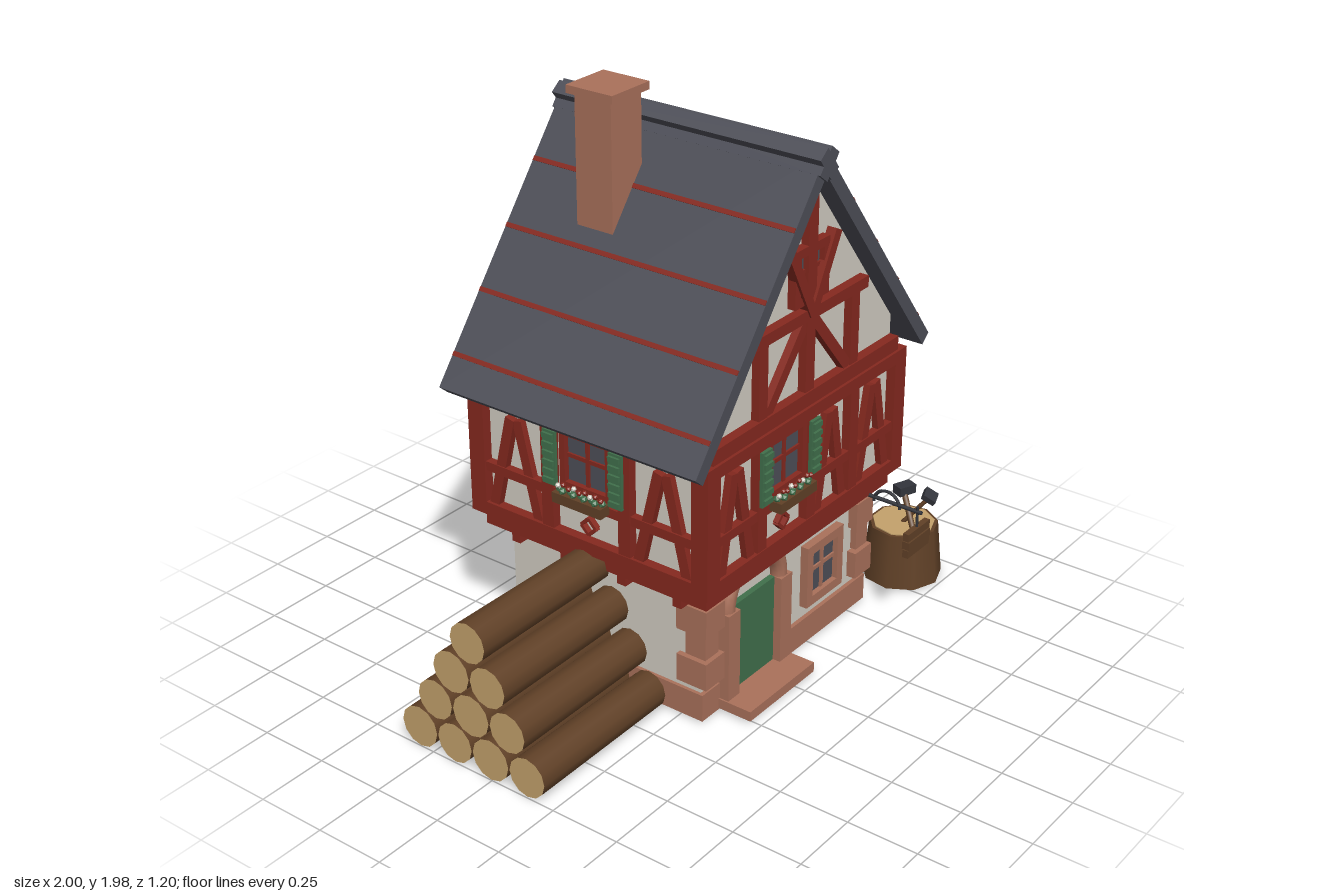
import * as THREE from 'three';

const mat = (name, color) => Object.assign(new THREE.MeshStandardMaterial({ color }), { name });
const M = {
  plaster: mat('plaster', 0xd2cdc2), timber: mat('red timber', 0x86291f),
  stone: mat('sandstone', 0xaa715b), slate: mat('slate', 0x4e4f58),
  wood: mat('brown wood', 0x614127), grain: mat('end grain', 0xc4a26c),
  green: mat('green paint', 0x41704c), iron: mat('dark iron', 0x33353c),
};
const CX = 0.12, CZ = -0.07; // centre of the house

function add(parent, name, geo, material, x = 0, y = 0, z = 0) {
  const m = new THREE.Mesh(geo, material);
  m.name = name;
  m.position.set(x, y, z);
  parent.add(m);
  return m;
}
const box = (p, name, m, w, h, d, x, y, z) => add(p, name, new THREE.BoxGeometry(w, h, d), m, x, y, z);
// box given by its x and y limits, from z0 to z1
const slab = (p, name, m, x0, x1, y0, y1, z0, z1) =>
  box(p, name, m, x1 - x0, y1 - y0, z1 - z0, (x0 + x1) / 2, (y0 + y1) / 2, (z0 + z1) / 2);
// bar between two points of a wall plane
function brace(p, name, x0, y0, x1, y1, w, z0, z1) {
  const len = Math.hypot(x1 - x0, y1 - y0);
  const b = box(p, name, M.timber, w, len, z1 - z0, (x0 + x1) / 2, (y0 + y1) / 2, (z0 + z1) / 2);
  b.rotation.z = -Math.atan2(x1 - x0, y1 - y0);
}
// round or square rod between two points in space
function rod(p, name, m, a, b, r, sides = 8) {
  const A = new THREE.Vector3(...a), B = new THREE.Vector3(...b);
  const o = add(p, name, new THREE.CylinderGeometry(r, r, A.distanceTo(B), sides), m);
  o.position.copy(A).lerp(B, 0.5);
  o.quaternion.setFromUnitVectors(new THREE.Vector3(0, 1, 0), B.sub(A).normalize());
  return o;
}
function group(parent, name, x = 0, y = 0, z = 0, ry = 0) {
  const g = new THREE.Group();
  g.name = name;
  g.position.set(x, y, z);
  g.rotation.y = ry;
  parent.add(g);
  return g;
}

// Glass with frame and cross bars, centred on (x, y)
function windowUnit(p, m, x, y, w, h, f, z) {
  const g = group(p, 'window', x, y, z);
  box(g, 'glass', M.slate, w - f, h - f, 0.01, 0, 0, 0.005);
  for (const s of [-1, 1]) {
    box(g, 'frameSide', m, f, h, 0.03, s * (w - f) / 2, 0, 0.015);
    box(g, 'frameRail', m, w, f, 0.03, 0, s * (h - f) / 2, 0.015);
  }
  box(g, 'mullion', m, 0.014, h - f, 0.014, 0, 0, 0.01);
  box(g, 'crossbar', m, w - f, 0.014, 0.014, 0, 0.01, 0.01);
}

// Shuttered window with flower box
function flowerWindow(p, x) {
  windowUnit(p, M.timber, x, 0.86, 0.21, 0.21, 0.022, 0);
  for (const s of [-1, 1]) {
    box(p, 'shutter', M.green, 0.052, 0.195, 0.012, x + s * 0.135, 0.855, 0.041);
    for (let i = 0; i < 6; i++)
      box(p, 'shutterSlat', M.green, 0.044, 0.018, 0.012, x + s * 0.135, 0.775 + i * 0.032, 0.05);
  }
  box(p, 'flowerBox', M.wood, 0.2, 0.036, 0.045, x, 0.737, 0.055);
  const ball = new THREE.IcosahedronGeometry(0.013, 0);
  for (let i = 0; i < 9; i++) {
    const u = x - 0.088 + i * 0.022;
    add(p, 'leaf', ball, M.green, u, 0.762, 0.052 + (i % 2) * 0.012);
    add(p, 'blossom', ball, i % 3 ? M.timber : M.plaster, u, 0.775 + (i % 2) * 0.008, 0.06).scale.setScalar(0.75);
  }
  // diamond ornament below the sill
  for (const [a, b] of [[-1, 0], [0, 1], [1, 0], [0, -1]].map((q, i, l) => [q, l[(i + 1) % 4]]))
    brace(p, 'diamond', x + a[0] * 0.03, 0.633 + a[1] * 0.03, x + b[0] * 0.03, 0.633 + b[1] * 0.03, 0.012, 0, 0.02);
}

// Half-timbered wall; local z = 0 is the plaster face
function facade(p, name, half, posts, winBay, x, z, ry) {
  const g = group(p, name, x, 0, z, ry);
  const T = 0.035;
  slab(g, 'sill', M.timber, -half, half, 0.54, 0.588, 0, T);
  slab(g, 'topRail', M.timber, -half, half, 0.955, 1.0, 0, T);
  slab(g, 'middleRail', M.timber, -half, half, 0.705, 0.738, 0, T - 0.006);
  for (const s of [-1, 1]) box(g, 'cornerPost', M.timber, 0.065, 0.46, T, s * (half - 0.0325), 0.77, T / 2);
  for (const u of posts) box(g, 'post', M.timber, 0.048, 0.4, T - 0.003, u, 0.77, (T - 0.003) / 2);
  const edges = [-half + 0.041, ...posts, half - 0.041];
  for (let i = 0; i < edges.length - 1; i++) {
    const l = edges[i] + 0.024, r = edges[i + 1] - 0.024, c = (l + r) / 2;
    if (i === winBay) flowerWindow(g, c);
    else {
      brace(g, 'brace', l + 0.024, 0.575, c - 0.014, 0.925, 0.038, 0, T - 0.01);
      brace(g, 'brace', r - 0.024, 0.575, c + 0.014, 0.925, 0.038, 0, T - 0.012);
    }
  }
}

function gable(p, z, ry) {
  const g = group(p, 'gableTimbers', CX, 0, z, ry);
  slab(g, 'gableSill', M.timber, -0.52, 0.52, 1.0, 1.05, 0, 0.035);
  slab(g, 'kingPost', M.timber, -0.024, 0.024, 1.05, 1.8, 0, 0.03);
  slab(g, 'collarBeam', M.timber, -0.32, 0.32, 1.3, 1.34, 0, 0.034);
  windowUnit(g, M.timber, 0, 1.458, 0.185, 0.195, 0.03, 0);
  for (const s of [-1, 1]) {
    box(g, 'gablePost', M.timber, 0.045, 0.26, 0.03, s * 0.255, 1.175, 0.015);
    brace(g, 'lowerBrace', s * 0.225, 1.05, 0, 1.32, 0.04, 0, 0.027);
    brace(g, 'upperBrace', 0, 1.32, s * 0.128, 1.565, 0.036, 0.005, 0.04);
  }
}

function roof(p) {
  const g = group(p, 'roof', CX, 0, CZ);
  const k = 1.29, a = Math.atan(k), top = 1.868;
  for (const s of [-1, 1]) {
    const shape = new THREE.Shape([[0, 1.79], [0.62, 1.79 - k * 0.62], [0.656, top - k * 0.656], [0, top]]
      .map(([x, y]) => new THREE.Vector2(s * x, y)));
    add(g, 'roofSlope', new THREE.ExtrudeGeometry(shape, { depth: 1.035, bevelEnabled: false }), M.slate, 0, 0, -0.52);
    for (const y of [1.66, 1.474, 1.295, 1.116])
      box(g, 'roofStripe', M.timber, 0.016, 0.006, 1.033, s * (top - y) / k, y, -0.0025).rotation.z = -s * a;
    box(g, 'ridgeCap', M.slate, 0.1, 0.05, 1.055, 0, 1.828, -0.0025).rotation.z = s * a;
  }
  box(g, 'chimney', M.stone, 0.15, 0.62, 0.145, -0.19, 1.66, -0.18);
  box(g, 'chimneyCap', M.stone, 0.185, 0.027, 0.185, -0.188, 1.977, -0.182);
}

function groundFloor(p) {
  const g = group(p, 'groundFloor');
  box(g, 'lowerWalls', M.plaster, 0.93, 0.48, 0.79, CX, 0.25, CZ);
  box(g, 'plinth', M.stone, 0.955, 0.1, 0.82, CX, 0.065, CZ);
  // corner stones on the front corners
  for (const s of [-1, 1]) for (let i = 0; i < 4; i++) {
    const o = i % 2 ? 0.008 : 0.02, w = i % 2 ? 0.07 : 0.1, d = i % 2 ? 0.08 : 0.12;
    box(g, 'cornerStone', M.stone, w, i % 2 ? 0.085 : 0.1, d, CX + s * (0.465 + o - w / 2), 0.2 + (i - 0.0) * 0.098 - 0.005, 0.34 + o - d / 2);
  }
  // door with arched surround
  const dx = -0.085;
  slab(g, 'door', M.green, dx - 0.118, dx + 0.118, 0.055, 0.38, 0.3, 0.346);
  for (const s of [-1, 1]) box(g, 'doorJamb', M.stone, 0.062, 0.33, 0.07, dx + s * 0.146, 0.215, 0.34);
  add(g, 'doorArch', new THREE.TorusGeometry(0.146, 0.031, 10, 20, Math.PI), M.stone, dx, 0.38, 0.34);
  slab(g, 'doorStep', M.stone, dx - 0.183, dx + 0.183, 0.02, 0.056, 0.3, 0.468);
  windowUnit(g, M.stone, 0.322, 0.283, 0.215, 0.235, 0.034, 0.325);
  // jetty beams
  box(g, 'jettyBeam', M.timber, 1.05, 0.06, 0.92, CX, 0.51, CZ);
  for (const z of [0.265, 0.04, -0.2, -0.41]) box(g, 'joist', M.timber, 1.03, 0.045, 0.035, CX, 0.465, z);
}

function logPile(p) {
  const g = group(p, 'logPile');
  for (let row = 0; row < 4; row++) for (let i = 0; i < 4 - row; i++) {
    const r = 0.074 - ((i + row) % 2) * 0.003;
    const geo = new THREE.CylinderGeometry(r, r - 0.004, 0.61, 12);
    const log = add(g, 'log', geo, [M.wood, M.grain, M.grain], -0.693, 0.082 + row * 0.134, -0.08 + (i - (3 - row) / 2) * 0.15);
    log.rotation.z = Math.PI / 2;
  }
}

function yard(p) {
  // chopping block and tools
  const s = group(p, 'choppingBlock', 0.845, 0, 0.345);
  add(s, 'stump', new THREE.CylinderGeometry(0.125, 0.145, 0.205, 9), [M.wood, M.wood, M.grain], 0, 0.115, 0);
  add(s, 'stumpTop', new THREE.CylinderGeometry(0.113, 0.113, 0.006, 9), M.grain, 0, 0.218, 0);
  rod(s, 'hammerHandle', M.wood, [-0.045, 0.2, 0.075], [0.02, 0.335, -0.02], 0.011);
  box(s, 'hammerHead', M.iron, 0.045, 0.034, 0.07, 0.025, 0.335, -0.018).rotation.y = 1.2;
  rod(s, 'hatchetHandle', M.wood, [-0.01, 0.21, -0.005], [0.03, 0.325, 0.08], 0.008);
  box(s, 'hatchetHead', M.iron, 0.05, 0.022, 0.05, 0.03, 0.335, 0.085).rotation.set(0.6, 0.4, 0);
  // sawhorse
  const h = group(p, 'sawhorse', 0, 0, -0.335);
  slab(h, 'sawhorseBeam', M.wood, 0.63, 1.0, 0.23, 0.266, -0.016, 0.016);
  for (const [a, b] of [[0.73, 0.67], [0.88, 0.95]])
    rod(h, 'sawhorseLeg', M.wood, [a, 0.245, 0], [b, 0.015, 0], 0.018, 4);
  // hanging sign
  const g = group(p, 'hangingSign', 0.532, 0, 0);
  rod(g, 'signBar', M.iron, [0, 0.48, 0.33], [0, 0.48, 0.6], 0.007);
  add(g, 'signScroll', new THREE.TorusGeometry(0.052, 0.006, 6, 16, Math.PI), M.iron, 0, 0.465, 0.46).rotation.y = Math.PI / 2;
  rod(g, 'signHanger', M.iron, [0, 0.5, 0.583], [0, 0.42, 0.583], 0.005);
  for (let i = 0; i < 3; i++) box(g, 'signBoard', M.wood, 0.136, 0.029, 0.022 + (i % 2) * 0.006, 0, 0.345 + i * 0.032, 0.583);
  box(g, 'signBacking', M.iron, 0.12, 0.09, 0.012, 0, 0.378, 0.583);
}

export function createModel() {
  const root = new THREE.Group();
  root.name = 'timberedHouse';
  groundFloor(root);

  // upper storey with one timber pattern per wall
  box(root, 'upperWalls', M.plaster, 1.05, 0.46, 0.91, CX, 0.77, CZ);
  for (const s of [1, -1]) {
    const turn = s > 0 ? 0 : Math.PI;
    facade(root, s > 0 ? 'frontWall' : 'backWall', 0.56, [-0.265, 0.008, 0.254], 1, CX, CZ + s * 0.455, turn);
    facade(root, s > 0 ? 'leftWall' : 'rightWall', 0.49, [-0.158, 0.158], 1, CX + s * 0.525, CZ, s * Math.PI / 2);
    gable(root, CZ + s * 0.445, turn);
  }

  // gable walls under the roof
  const outline = new THREE.Shape([[-0.52, 1], [0.52, 1], [0.52, 1.12], [0, 1.8], [-0.52, 1.12]].map((q) => new THREE.Vector2(...q)));
  add(root, 'gableWalls', new THREE.ExtrudeGeometry(outline, { depth: 0.89, bevelEnabled: false }), M.plaster, CX, 0, CZ - 0.445);
  roof(root);
  logPile(root);
  yard(root);
  return root;
}
